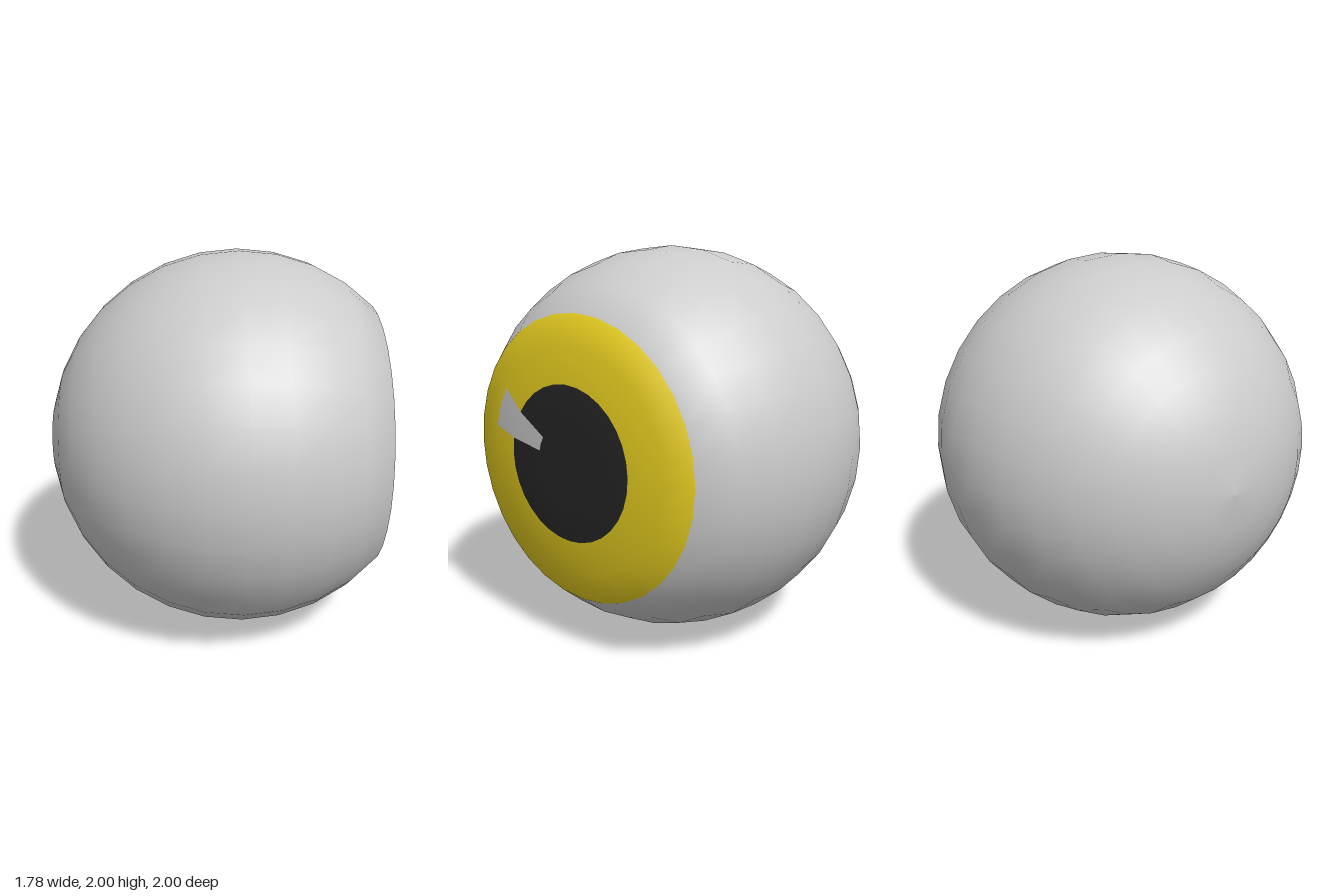
import * as THREE from 'three';

const SEGMENTS = 32;
const RINGS = 16;
const CENTRE_X = 0.11;

// Profile from the back pole to the front: a round ball, a shallow conical iris, a flat pupil
function profile() {
  const points = [];
  for (let j = 0; j <= RINGS; j++) {
    const a = Math.PI * j / RINGS;
    const r = j === 0 || j === RINGS ? 0 : Math.sin(a);
    let h = -Math.cos(a);
    if (j === 13) h = 0.741;
    if (j > 13) h = 0.78;
    points.push(new THREE.Vector2(r, h));
  }
  return points;
}

export function createModel() {
  const group = new THREE.Group();
  group.name = 'eyeball';

  // One smooth surface turned about the x axis; each part takes its own cells of it
  const surface = new THREE.LatheGeometry(profile(), SEGMENTS);
  surface.rotateZ(-Math.PI / 2);
  surface.translate(CENTRE_X, 1, 0);

  const isHighlight = (seg, ring) => (seg === 29 || seg === 30) && ring >= 13 && ring <= 14;

  function addPart(name, color, belongs) {
    const index = [];
    const n = RINGS + 1;
    for (let s = 0; s < SEGMENTS; s++) {
      for (let j = 0; j < RINGS; j++) {
        if (!belongs(s, j)) continue;
        const a = s * n + j, b = a + n, c = b + 1, d = a + 1;
        if (j > 0) index.push(a, b, d);
        if (j < RINGS - 1) index.push(c, d, b);
      }
    }
    const geometry = surface.clone();
    geometry.setIndex(index);
    // Keep only the vertices this part uses
    const mesh = new THREE.Mesh(geometry.toNonIndexed(), new THREE.MeshStandardMaterial({ color }));
    mesh.name = name;
    group.add(mesh);
  }

  addPart('ball', 0xcccccc, (s, j) => j < 12);
  addPart('iris', 0xe8cf20, (s, j) => (j === 12 || j === 13) && !isHighlight(s, j));
  addPart('pupil', 0x262626, (s, j) => j >= 14 && !isHighlight(s, j));
  addPart('highlight', 0xcccccc, isHighlight);

  return group;
}
